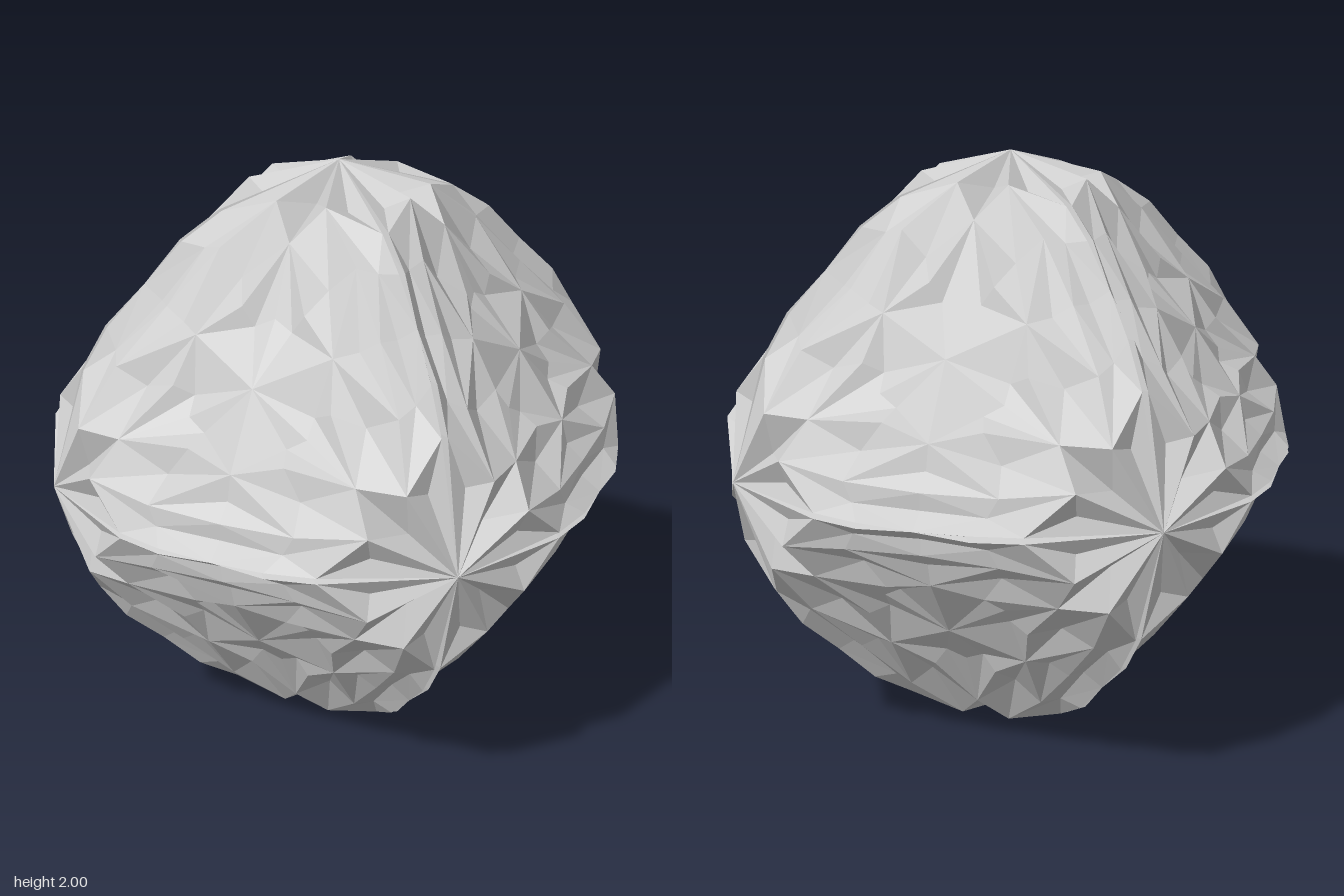
import * as THREE from 'three';

// Key points of one 48th of the ball (0 <= x <= y <= z).
// Tips lie close to eight flat plates, x + y + z = 1.34; pits sink below them.
const P = {
  axisTip: [0, 0, 1],
  shoulder: [0.14, 0.26, 0.93],
  innerStar: [0.26, 0.26, 0.83],
  rimA: [0.01, 0.40, 0.875],
  rimB: [0.01, 0.535, 0.79],
  rimMid: [0, 0.66, 0.66],
  sideStar: [0.11, 0.44, 0.79],
  edgeStar: [0.23, 0.56, 0.56],
  ridge: [0.10, 0.615, 0.615],
  link: [0.27, 0.42, 0.65],
  centreStar: [0.45, 0.45, 0.45],
  rimGrooveA: [0, 0.40, 0.84],
  rimGrooveB: [0, 0.535, 0.76],
  pitA: [0.06, 0.24, 0.90],
  pitB: [0.18, 0.39, 0.71],
  pitC: [0.30, 0.39, 0.59],
  ditch: [0.05, 0.47, 0.775],
  ditchMid: [0.045, 0.615, 0.615],
  grooveE: [0.15, 0.575, 0.575],
  grooveC: [0.335, 0.335, 0.62],
  grooveA: [0.12, 0.12, 0.90],
};

// Facets as fans: a pit followed by the points around it
const FANS = [
  { pit: 'pitA', ring: ['axisTip', 'shoulder', 'rimA'], closed: true },
  { pit: 'grooveA', ring: ['axisTip', 'shoulder', 'innerStar'] },
  {
    pit: 'ditch',
    ring: ['shoulder', 'rimA', 'rimB', 'rimMid', 'ditchMid', 'ridge', 'sideStar'],
    closed: true,
  },
  { pit: 'pitB', ring: ['shoulder', 'sideStar', 'edgeStar', 'link', 'innerStar'], closed: true },
  { pit: 'pitC', ring: ['innerStar', 'link', 'edgeStar', 'centreStar', 'grooveC'], closed: true },
  { pit: 'grooveE', ring: ['ridge', 'sideStar', 'edgeStar'] },
  { pit: 'rimGrooveA', ring: ['axisTip', 'rimA', 'rimB', 'rimGrooveB'] },
  { pit: 'rimGrooveB', ring: ['rimB', 'rimMid'] },
];

const FACETS = FANS.flatMap(({ pit, ring, closed }) => {
  const count = closed ? ring.length : ring.length - 1;
  return Array.from({ length: count }, (_, i) => [pit, ring[i], ring[(i + 1) % ring.length]]);
});

const ORDERS = [[0, 1, 2], [0, 2, 1], [1, 0, 2], [1, 2, 0], [2, 0, 1], [2, 1, 0]];

export function createModel() {
  const group = new THREE.Group();
  group.name = 'facetedStarBall';
  const positions = [];

  // Repeat the wedge over all axis orders and signs
  for (const order of ORDERS) {
    for (let s = 0; s < 8; s++) {
      const signs = [s & 1 ? -1 : 1, s & 2 ? -1 : 1, s & 4 ? -1 : 1];
      const place = (name) => new THREE.Vector3(...order.map((k, i) => P[name][k] * signs[i]));
      for (const facet of FACETS) {
        let [a, b, c] = facet.map(place);
        // Keep every facet facing outward
        const normal = b.clone().sub(a).cross(c.clone().sub(a));
        if (normal.dot(a.clone().add(b).add(c)) < 0) [b, c] = [c, b];
        for (const v of [a, b, c]) positions.push(v.x, v.y, v.z);
      }
    }
  }

  const geometry = new THREE.BufferGeometry();
  geometry.setAttribute('position', new THREE.Float32BufferAttribute(positions, 3));
  geometry.computeVertexNormals();
  const ball = new THREE.Mesh(
    geometry,
    new THREE.MeshStandardMaterial({ color: 0xcccccc, flatShading: true })
  );
  ball.name = 'starBall';
  ball.position.y = 1;
  group.add(ball);
  return group;
}
